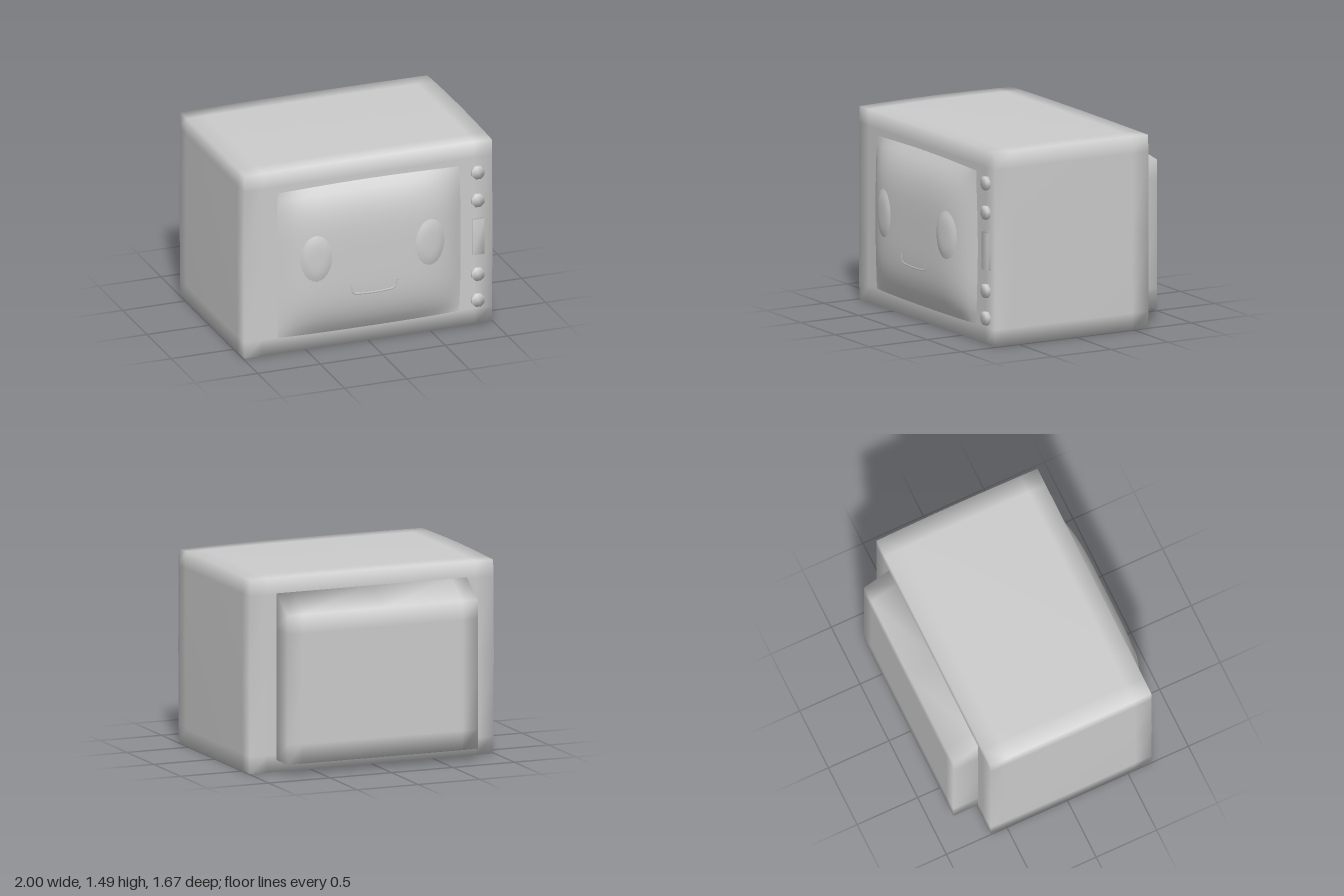
import * as THREE from 'three';
import { mergeVertices } from 'three/addons/utils/BufferGeometryUtils.js';

const material = new THREE.MeshStandardMaterial({ color: 0xcccccc });

// Weld a geometry and share normals across its edges
function soften(geometry) {
  geometry.deleteAttribute('uv');
  geometry.deleteAttribute('normal');
  const welded = mergeVertices(geometry, 1e-4);
  welded.computeVertexNormals();
  return welded;
}

// Move every vertex by a rule that edits a Vector3
function deform(geometry, rule) {
  const pos = geometry.attributes.position;
  const v = new THREE.Vector3();
  for (let i = 0; i < pos.count; i++) {
    rule(v.fromBufferAttribute(pos, i));
    pos.setXYZ(i, v.x, v.y, v.z);
  }
  return geometry;
}

// Box whose grid lines sit at the given positions on each axis
function loopedBox(xs, ys, zs, rule = () => {}) {
  const g = new THREE.BoxGeometry(1, 1, 1, xs.length - 1, ys.length - 1, zs.length - 1);
  const pick = (list, t) => list[Math.round((t + 0.5) * (list.length - 1))];
  deform(g, (v) => {
    v.set(pick(xs, v.x), pick(ys, v.y), pick(zs, v.z));
    rule(v);
  });
  return soften(g);
}

// Depth of the bulging glass at a point on the front
function glassDepth(x, y) {
  const u = Math.min(1, Math.abs(x) / 0.74);
  const v = Math.min(1, Math.abs(y - 0.715) / 0.597);
  return 0.702 + 0.12 * (1 - u ** 5) * (1 - v ** 4);
}

export function createModel() {
  const model = new THREE.Group();
  const add = (name, geometry, mat = material) => {
    const mesh = new THREE.Mesh(geometry, mat);
    mesh.name = name;
    model.add(mesh);
    return mesh;
  };

  // Cabinet with a slightly swollen top and sides
  add('cabinet', loopedBox(
    [-0.99, -0.85, -0.5, 0, 0.5, 0.85, 0.99],
    [0, 0.13, 0.74, 1.35, 1.475],
    [-0.63, -0.49, -0.25, 0.035, 0.32, 0.56, 0.70],
    (v) => {
      const a = 1 - (v.x / 0.99) ** 2;
      const b = 1 - ((v.z - 0.035) / 0.665) ** 2;
      const c = 1 - ((v.y - 0.74) / 0.74) ** 2;
      if (v.y > 1.47) v.y += 0.015 * Math.max(0, a * 0.4 + b * 0.6);
      if (Math.abs(v.x) > 0.98) v.x += Math.sign(v.x) * 0.01 * Math.max(0, b * 0.5 + c * 0.5);
    }));

  // Rear housing with a sloping top
  add('rearHousing', loopedBox(
    [-0.775, -0.65, 0, 0.65, 0.775],
    [0.09, 0.24, 0.7, 1.08, 1.225],
    [-0.835, -0.62],
    (v) => { if (v.y > 1.2 && v.z > -0.7) v.y = 1.365; }));

  // Bulging screen with bowed edges
  const screen = deform(new THREE.PlaneGeometry(2, 2, 24, 20), (v) => {
    const u = v.x, w = v.y;
    v.x = u * (0.725 + 0.015 * (1 - w * w));
    v.y = 0.715 + w * (0.585 + 0.012 * (1 - u * u));
    v.z = glassDepth(v.x, v.y);
  });
  const thin = material.clone();
  thin.side = THREE.DoubleSide;
  add('screen', soften(screen), thin);

  // Faint raised ovals following the glass
  for (const side of [-1, 1]) {
    const oval = deform(new THREE.RingGeometry(0.001, 1, 24, 5), (v) => {
      const r = Math.hypot(v.x, v.y);
      v.x = side * 0.455 + v.x * 0.125;
      v.y = 0.77 + v.y * 0.19;
      v.z = glassDepth(v.x, v.y) - 0.002 + 0.019 * (1 - r ** 4);
    });
    add(side < 0 ? 'rightEye' : 'leftEye', soften(oval), thin);
  }

  // Faint raised mouth line
  const mouthPoints = [[-0.18, 0.515], [-0.165, 0.455], [-0.08, 0.44], [0.08, 0.44], [0.165, 0.455], [0.18, 0.515]]
    .map(([x, y]) => new THREE.Vector3(x, y, glassDepth(x, y) - 0.008));
  add('mouth', new THREE.TubeGeometry(new THREE.CatmullRomCurve3(mouthPoints), 20, 0.012, 6));

  // Octagonal knobs and the slider between them
  for (const y of [1.232, 1.007, 0.41, 0.2]) {
    const g = new THREE.CylinderGeometry(0.054, 0.054, 0.05, 8);
    g.rotateX(Math.PI / 2).rotateZ(Math.PI / 8);
    add('knob', soften(g)).position.set(0.872, y, 0.703);
  }
  add('slider', loopedBox([0.83, 0.92], [0.57, 0.855], [0.68, 0.725]));

  return model;
}
